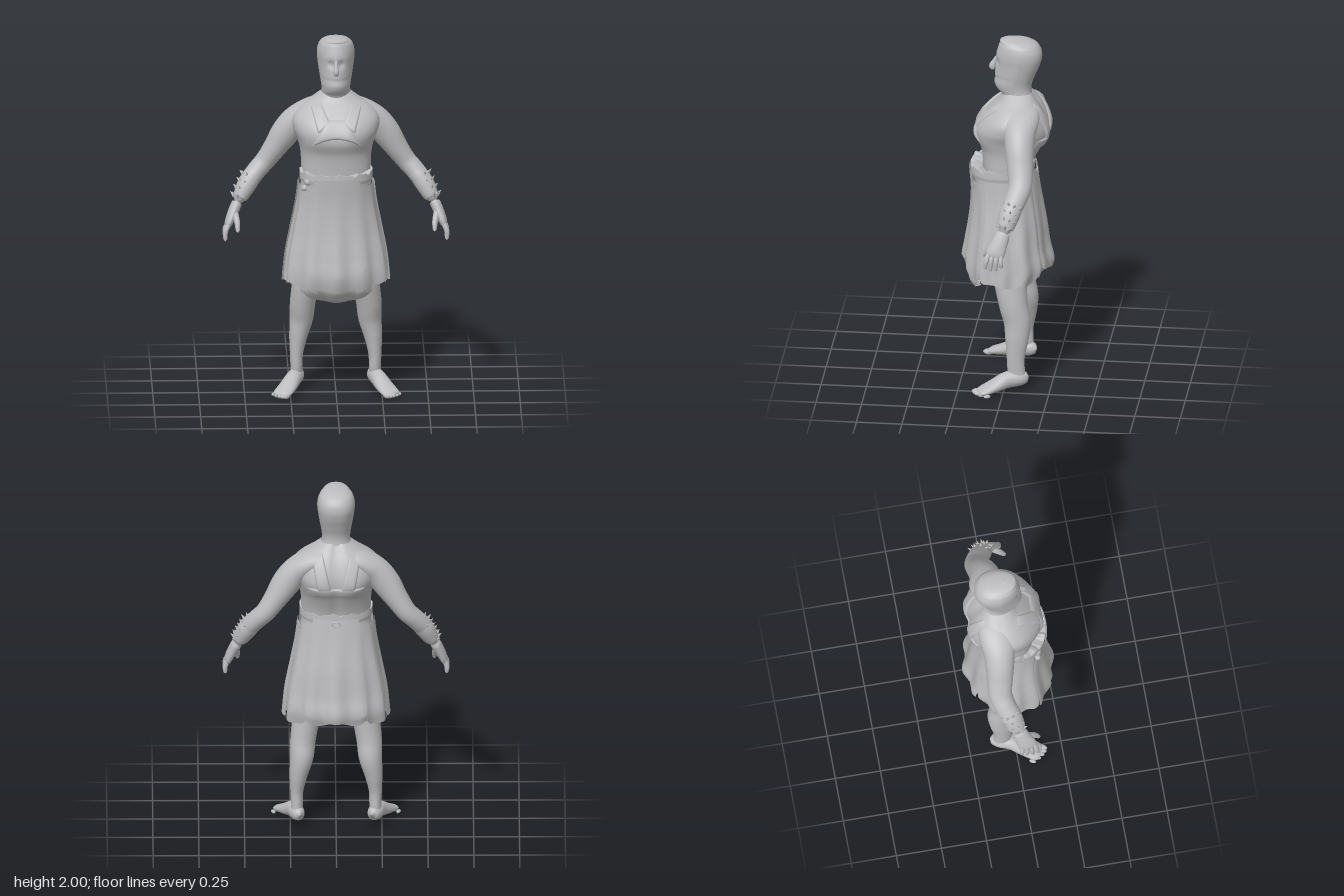
import * as THREE from 'three';
import { ParametricGeometry } from 'three/addons/geometries/ParametricGeometry.js';

const clay = new THREE.MeshStandardMaterial({ color: 0xbcbcbe, side: THREE.DoubleSide });
clay.name = 'clay grey';

const bump = (x, y, cx, cy, r) => Math.exp(-((x - cx) ** 2 + (y - cy) ** 2) / (r * r));
const lerp = THREE.MathUtils.lerp;

// Smooth interpolation through rows whose first entry is the key
function profile(rows) {
  const size = rows[0].length - 1;
  const curve = new THREE.CubicInterpolant(rows.map(r => r[0]), rows.flatMap(r => r.slice(1)), size);
  return t => Array.from(curve.evaluate(t));
}

// Cross-section rows: y, half width, front z, back z
const torsoAt = profile([
  [1.18, 0.185, 0.13, -0.12], [1.28, 0.19, 0.135, -0.14], [1.37, 0.195, 0.147, -0.178],
  [1.44, 0.212, 0.172, -0.215], [1.5, 0.235, 0.162, -0.22], [1.56, 0.235, 0.128, -0.207],
  [1.61, 0.195, 0.085, -0.185], [1.65, 0.135, 0.045, -0.16], [1.69, 0.08, 0.02, -0.135],
]);
const headAt = profile([
  [1.6, 0.085, 0.03, -0.15], [1.68, 0.078, 0.035, -0.13], [1.705, 0.077, 0.06, -0.127],
  [1.735, 0.08, 0.075, -0.13], [1.79, 0.089, 0.073, -0.15], [1.85, 0.098, 0.068, -0.175],
  [1.9, 0.103, 0.066, -0.186], [1.945, 0.097, 0.055, -0.175], [1.975, 0.079, 0.044, -0.145],
  [1.993, 0.045, 0.03, -0.09], [2.0, 0.001, -0.02, -0.022],
]);
const skirtAt = profile([
  [0.54, 0.285, 0.175, -0.18], [0.62, 0.283, 0.212, -0.202], [0.7, 0.277, 0.228, -0.226],
  [0.8, 0.267, 0.215, -0.208], [0.95, 0.24, 0.195, -0.19], [1.1, 0.213, 0.188, -0.165],
  [1.27, 0.196, 0.2, -0.14],
]);

const POWER = 2.3;
function ringPoint([hw, zf, zb], angle, out = 0) {
  const s = Math.sin(angle), c = Math.cos(angle);
  const k = (Math.abs(s) ** POWER + Math.abs(c) ** POWER) ** (-1 / POWER);
  return [(hw + out) * s * k, (zf + zb) / 2 + ((zf - zb) / 2 + out) * c * k];
}

// Depth of the torso surface; side is 1 for the chest and -1 for the back
function torsoZ(x, y, side) {
  const [hw, zf, zb] = torsoAt(y);
  const k = (1 - Math.min(0.98, Math.abs(x / hw)) ** POWER) ** (1 / POWER);
  const muscle = side > 0
    ? 0.012 * (bump(x, y, 0.1, 1.5, 0.07) + bump(x, y, -0.1, 1.5, 0.07))
    : 0.012 * (bump(x, y, 0.11, 1.47, 0.07) + bump(x, y, -0.11, 1.47, 0.07)) - 0.012 * bump(x, 0, 0, 0, 0.03);
  return (zf + zb) / 2 + side * ((zf - zb) / 2 * k + muscle);
}

export function createModel() {
  const model = new THREE.Group();
  model.name = 'warrior';
  const add = (name, geometry, parent = model) => {
    const mesh = new THREE.Mesh(geometry, clay);
    mesh.name = name;
    parent.add(mesh);
    return mesh;
  };
  const surface = (name, fn, nu, nv, parent) => add(name, new ParametricGeometry(fn, nu, nv), parent);

  // Tapered limb; rows: x, y, z, radius across, radius along ref
  function limb(name, rows, side, ref, parent, nu = 18, nv = 30) {
    const at = profile(rows.map((r, i) => [i / (rows.length - 1), r[0] * side, ...r.slice(1)]));
    const point = t => new THREE.Vector3(...at(t).slice(0, 3));
    return surface(name, (u, v, target) => {
      const [x, y, z, ra, rb] = at(v);
      const t = point(Math.min(1, v + 0.01)).sub(point(Math.max(0, v - 0.01))).normalize();
      const b = ref.clone().addScaledVector(t, -ref.dot(t)).normalize();
      const a = new THREE.Vector3().crossVectors(b, t);
      const cap = Math.max(0.02, Math.sqrt(Math.max(0, 1 - (2 * v - 1) ** 16)));
      const angle = u * Math.PI * 2;
      target.set(x, y, z).addScaledVector(a, ra * cap * Math.cos(angle)).addScaledVector(b, rb * cap * Math.sin(angle));
    }, nu, nv, parent);
  }
  const Y = new THREE.Vector3(0, 1, 0), Z = new THREE.Vector3(0, 0, 1);

  // Torso, with chest and shoulder blade swellings
  surface('torso', (u, v, target) => {
    const y = lerp(1.18, 1.69, v), angle = u * Math.PI * 2;
    const [x, z] = ringPoint(torsoAt(y), angle);
    const facing = Math.cos(angle), side = facing < 0 ? -1 : 1;
    target.set(x, y, lerp(z, torsoZ(x, y, side), Math.min(1, Math.abs(facing) * 2)));
  }, 48, 32);

  // Head, narrowing towards the face, with eye sockets and a mouth line
  surface('head', (u, v, target) => {
    const y = lerp(1.6, 2, Math.sin(v * Math.PI / 2)), angle = u * Math.PI * 2;
    let [x, z] = ringPoint(headAt(y), angle);
    const facing = Math.cos(angle);
    if (facing > 0) {
      z -= 0.014 * (bump(x, y, 0.036, 1.865, 0.022) + bump(x, y, -0.036, 1.865, 0.022));
      z -= 0.006 * bump(0, y, 0, 1.768, 0.01);
      x *= 1 - 0.3 * facing * bump(0, y, 0, 1.82, 0.17);
    }
    target.set(x, y, z);
  }, 40, 40);
  limb('nose', [[0, 1.89, 0.058, 0.008, 0.01], [0, 1.858, 0.074, 0.01, 0.014],
    [0, 1.828, 0.087, 0.015, 0.019], [0, 1.808, 0.078, 0.012, 0.01]], 1, Z, model, 10, 12);

  // Harness pieces lying on the torso, with edges tucked into it
  function strap(name, bottom, top, side) {
    surface(name, (u, v, target) => {
      const [x0, y0] = bottom(u), [x1, y1] = top(u);
      const x = lerp(x0, x1, v), y = lerp(y0, y1, v);
      const lift = 0.016 * (1 - Math.max(Math.abs(2 * u - 1), Math.abs(2 * v - 1)) ** 10) - 0.004;
      target.set(x, y, torsoZ(x, y, side) + side * lift);
    }, 24, 14);
  }
  const line = (a, b) => u => [lerp(a[0], b[0], u), lerp(a[1], b[1], u)];
  strap('chestBand', u => [lerp(-0.145, 0.145, u), 1.47 - 0.055 * (2 * u - 1) ** 2],
    line([-0.055, 1.573], [0.055, 1.573]), 1);
  strap('backBand', line([-0.17, 1.4], [0.17, 1.4]), line([-0.17, 1.46], [0.17, 1.46]), -1);
  for (const s of [-1, 1]) {
    strap('chestStrap', line([s * 0.03, 1.55], [s * 0.1, 1.5]), line([s * 0.085, 1.65], [s * 0.14, 1.63]), 1);
    strap('backStrap', line([s * 0.02, 1.43], [s * 0.1, 1.43]), line([s * 0.075, 1.655], [s * 0.135, 1.635]), -1);
  }

  // Cloth sheet following the skirt shape between two angles, with folds that grow downward
  function cloth(name, from, to, top, hem, out) {
    surface(name, (u, v, target) => {
      const angle = lerp(from, to, u), y = lerp(hem(u), top, v);
      const drop = Math.min(1, Math.max(0, (1.2 - y) / 0.5));
      const fold = drop * 0.01 * (Math.cos(angle * 12) + 0.4 * Math.cos(angle * 6));
      const [x, z] = ringPoint(skirtAt(Math.max(0.54, y)), angle, out(y) + fold);
      target.set(x, y, z);
    }, Math.ceil((to - from) * 18) + 4, 22);
  }
  const P = Math.PI;
  cloth('skirt', -P, P, 1.265, u => 0.645 + 0.015 * Math.cos(u * 2 * P * 9), () => -0.012);

  // Padded tongue hanging below the front apron, closed at its hem
  const tongueHem = u => 0.545 + 0.07 * (2 * u - 1) ** 2;
  const curl = y => 0.035 * Math.min(1, Math.max(0, (y - 0.545) / 0.07)) ** 0.5;
  cloth('frontTongue', -0.78, 0.78, 0.95, tongueHem, y => -0.037 + curl(y));
  cloth('tongueLining', -0.78, 0.78, 0.68, tongueHem, y => -0.037 - curl(y));

  cloth('frontApron', -0.6, 0.6, 1.25,
    u => 0.7 + 0.06 * Math.abs(2 * u - 1) ** 3 + 0.012 * Math.sin(u * 15), () => 0.014);
  cloth('backApron', P - 0.6, P + 0.6, 1.25, u => 0.665 + 0.05 * (2 * u - 1) ** 2, () => 0.014);
  for (const s of [-1, 1]) {
    [[0.8, 0.24, 0.65], [1.3, 0.27, 0.64], [1.78, 0.25, 0.63], [2.26, 0.27, 0.63]].forEach(([mid, half, low], i) => {
      cloth('skirtPanel', s * mid - half, s * mid + half, 1.2,
        u => low + 0.035 * Math.abs(2 * u - 1) ** 4, () => (i % 2 ? 0.001 : 0.009));
    });
  }

  // Ragged waistband closing the skirt onto the torso
  const bandOut = [0, 0.004, 0.003, -0.02, -0.06];
  surface('waistband', (u, v, target) => {
    const angle = u * P * 2, i = Math.round(v * 4);
    const ragged = 0.007 * Math.sin(angle * 11) + 0.005 * Math.sin(angle * 23);
    const [x, z] = ringPoint(skirtAt(1.27), angle, bandOut[i]);
    target.set(x, [1.215, 1.235, 1.27 + ragged, 1.268 + ragged, 1.255][i], z);
  }, 72, 4);

  // Ring fastening at the back of the waist
  const fastening = add('backRing', new THREE.TorusGeometry(0.022, 0.006, 8, 20));
  fastening.scale.y = 0.6;
  fastening.position.set(0, 1.225, -0.158);

  // Small knot at the right hip
  for (const [x, y, r] of [[-0.155, 1.225, 0.022], [-0.175, 1.19, 0.018], [-0.145, 1.17, 0.02], [-0.16, 1.145, 0.014]]) {
    add('hipKnot', new THREE.IcosahedronGeometry(r, 1)).position.set(x, y, 0.135);
  }

  for (const s of [-1, 1]) {
    const sideName = s > 0 ? 'left' : 'right';
    const arm = new THREE.Group(), leg = new THREE.Group();
    arm.name = sideName + 'Arm';
    leg.name = sideName + 'Leg';
    model.add(arm, leg);

    // Arm from the base of the neck over the shoulder to the wrist
    limb('armFlesh', [[0.03, 1.6, -0.085, 0.05, 0.085], [0.1, 1.597, -0.085, 0.055, 0.1],
      [0.165, 1.562, -0.085, 0.066, 0.1], [0.225, 1.51, -0.087, 0.076, 0.086], [0.278, 1.44, -0.093, 0.077, 0.078],
      [0.33, 1.36, -0.102, 0.064, 0.071], [0.383, 1.283, -0.108, 0.055, 0.064],
      [0.43, 1.232, -0.093, 0.053, 0.06], [0.47, 1.183, -0.07, 0.052, 0.058], [0.507, 1.125, -0.05, 0.045, 0.05],
      [0.54, 1.06, -0.033, 0.033, 0.042]], s, Z, arm, 24, 48);
    limb('bracer', [[0.45, 1.21, -0.08, 0.052, 0.058], [0.485, 1.16, -0.063, 0.053, 0.058],
      [0.51, 1.115, -0.048, 0.046, 0.052], [0.528, 1.082, -0.038, 0.037, 0.045]], s, Z, arm, 24, 16);

    // Spikes on the outer side of the bracer
    const axis = new THREE.Vector3(s * 0.5, -0.8, 0.3).normalize();
    const depth = Z.clone().addScaledVector(axis, -axis.z).normalize();
    const across = new THREE.Vector3().crossVectors(axis, depth);
    if (across.x * s < 0) across.negate();
    for (let row = 0; row < 4; row++) {
      for (let i = -2; i <= 1; i++) {
        const t = row / 3, angle = (i + 0.5) * 0.6 + (row % 2) * 0.2;
        const dir = across.clone().multiplyScalar(Math.cos(angle)).addScaledVector(depth, Math.sin(angle));
        const spike = add('spike', new THREE.ConeGeometry(0.012, 0.036, 5), arm);
        spike.position.set(s * lerp(0.462, 0.523, t), lerp(1.195, 1.09, t), lerp(-0.076, -0.04, t))
          .addScaledVector(dir, lerp(0.06, 0.05, t));
        spike.quaternion.setFromUnitVectors(Y, dir.addScaledVector(axis, -0.35).normalize());
      }
    }

    // Hand with four fingers and a thumb
    limb('palm', [[0.535, 1.075, -0.035, 0.03, 0.04], [0.56, 1.02, -0.015, 0.029, 0.046],
      [0.582, 0.97, 0.004, 0.024, 0.052], [0.592, 0.94, 0.012, 0.017, 0.048]], s, Z, arm, 18, 16);
    [-1.5, -0.5, 0.5, 1.5].forEach((k, i) => {
      const tip = [0.885, 0.865, 0.862, 0.875][i];
      limb('finger', [[0.585, 0.965, 0.01 + k * 0.022, 0.014, 0.013], [0.604, 0.92, 0.014 + k * 0.027, 0.014, 0.013],
        [0.604, tip, 0.016 + k * 0.03, 0.01, 0.009]], s, Z, arm, 10, 12);
    });
    limb('thumb', [[0.553, 1.025, 0.0, 0.018, 0.02], [0.54, 0.975, 0.05, 0.016, 0.017],
      [0.537, 0.925, 0.08, 0.01, 0.011]], s, Z, arm, 10, 14);

    // Leg from thigh to ankle
    limb('legFlesh', [[0.135, 0.82, -0.03, 0.085, 0.1], [0.16, 0.64, -0.03, 0.076, 0.092],
      [0.18, 0.5, -0.048, 0.07, 0.08], [0.187, 0.4, -0.07, 0.064, 0.075], [0.204, 0.3, -0.07, 0.05, 0.064],
      [0.214, 0.2, -0.065, 0.036, 0.05], [0.214, 0.12, -0.068, 0.033, 0.048], [0.215, 0.06, -0.08, 0.034, 0.045]],
    s, Z, leg, 24, 36);

    // Foot turned outward, with five toes
    limb('foot', [[0.195, 0.078, -0.134, 0.025, 0.03], [0.212, 0.075, -0.085, 0.041, 0.043],
      [0.232, 0.07, -0.02, 0.044, 0.046], [0.262, 0.045, 0.045, 0.052, 0.034],
      [0.29, 0.026, 0.1, 0.054, 0.022], [0.305, 0.018, 0.135, 0.044, 0.014]], s, Y, leg, 20, 26);
    for (let i = 0; i < 5; i++) {
      const toe = add('toe', new THREE.SphereGeometry(1, 10, 8), leg);
      const r = 0.016 - i * 0.0013;
      toe.scale.set(r, r * 0.9, r * 1.9);
      toe.position.set(s * (0.272 + i * 0.0175), r * 0.9, 0.142 - i * i * 0.004);
      toe.rotation.y = s * 0.45;
    }
  }
  return model;
}
